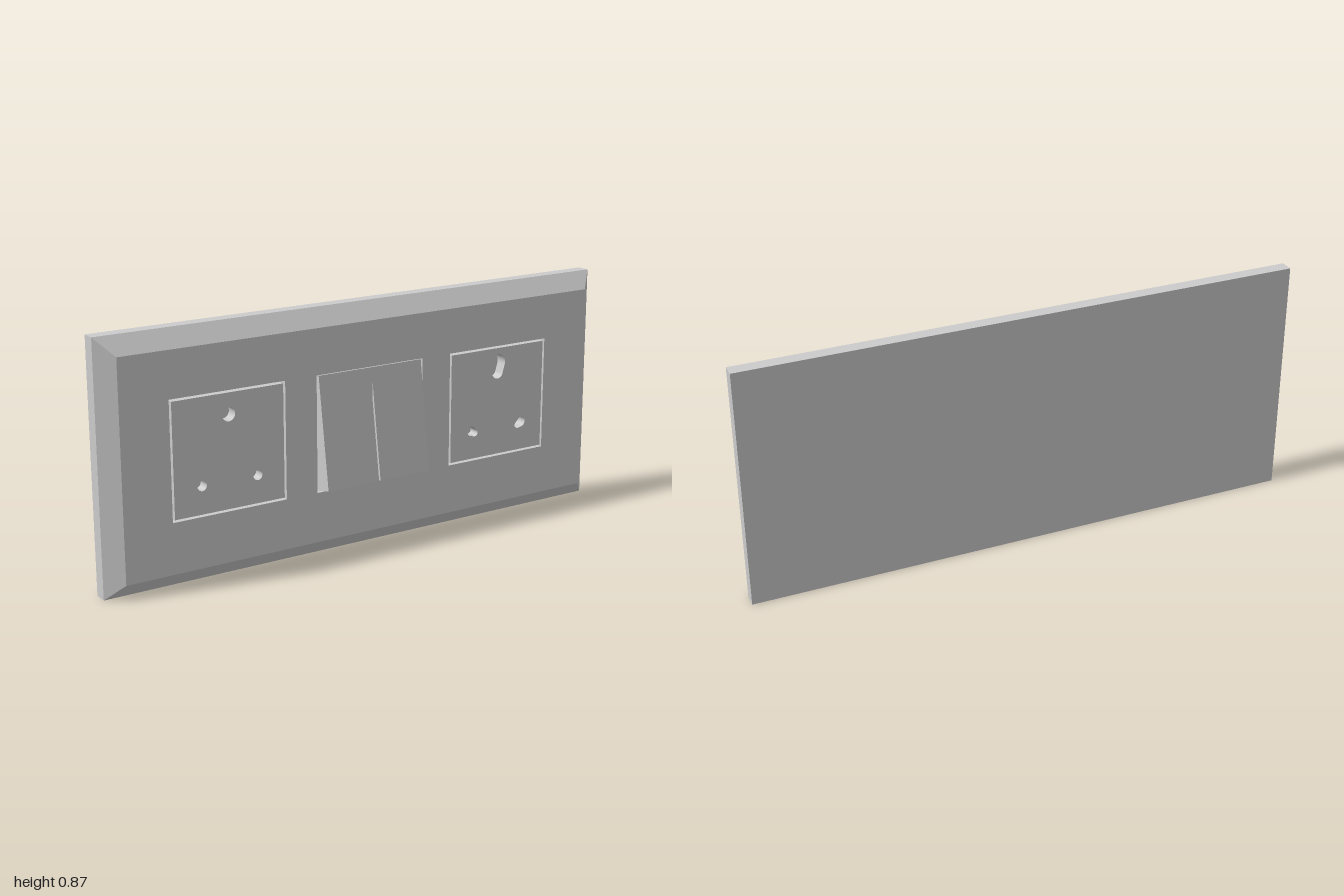
import * as THREE from 'three';

const FRONT = 0.018, FLOOR = -0.025, BACK = -0.075, H = 0.865;
const grey = new THREE.MeshStandardMaterial({ color: 0xcccccc });

// Closed rectangle outline, usable as a shape or as a hole
function rect(x0, y0, x1, y1) {
  return new THREE.Shape([[x0, y0], [x1, y0], [x1, y1], [x0, y1]].map(p => new THREE.Vector2(...p)));
}

// Outline around two circles joined by their tangents
function egg(x1, y1, r1, x2, y2, r2) {
  const s = new THREE.Shape();
  const a = Math.atan2(y2 - y1, x2 - x1);
  const b = Math.acos((r1 - r2) / Math.hypot(x2 - x1, y2 - y1));
  s.absarc(x1, y1, r1, a + b, a + 2 * Math.PI - b, false);
  s.absarc(x2, y2, r2, a - b, a + b, false);
  return s;
}

function circle(x, y, r) {
  return new THREE.Shape().absarc(x, y, r, 0, Math.PI * 2, false);
}

// Slab with holes reaching from the recess floor to the front face
function slab(name, shape, holes) {
  shape.holes.push(...holes);
  const g = new THREE.ExtrudeGeometry(shape, { depth: FRONT - FLOOR, bevelEnabled: false, curveSegments: 16 });
  g.translate(0, 0, FLOOR);
  const m = new THREE.Mesh(g, grey);
  m.name = name;
  return m;
}

// Body with bevelled rim: rectangles lofted from back to front
function bevelledBody() {
  const sections = [
    [-1, 0, 1, H, BACK], [-1, 0, 1, H, -0.027], [-0.94, 0.052, 0.95, 0.803, FRONT],
  ].map(([x0, y0, x1, y1, z]) => [[x0, y0, z], [x1, y0, z], [x1, y1, z], [x0, y1, z]]);
  const pos = [];
  const quad = (a, b, c, d) => pos.push(...a, ...b, ...c, ...a, ...c, ...d);
  for (let k = 0; k < 2; k++) {
    for (let i = 0; i < 4; i++) {
      const j = (i + 1) % 4;
      quad(sections[k][i], sections[k][j], sections[k + 1][j], sections[k + 1][i]);
    }
  }
  const [a, b, c, d] = sections[0];
  quad(d, c, b, a);
  const g = new THREE.BufferGeometry();
  g.setAttribute('position', new THREE.Float32BufferAttribute(pos, 3));
  g.computeVertexNormals();
  const m = new THREE.Mesh(g, grey);
  m.name = 'plateBody';
  return m;
}

// Side profile given as [z, y], extruded along x
function wedge(name, profile, x0, x1) {
  const s = new THREE.Shape(profile.map(([z, y]) => new THREE.Vector2(-z, y)));
  const g = new THREE.ExtrudeGeometry(s, { depth: x1 - x0, bevelEnabled: false });
  g.rotateY(Math.PI / 2);
  g.translate(x0, 0, 0);
  const m = new THREE.Mesh(g, grey);
  m.name = name;
  return m;
}

export function createModel() {
  const group = new THREE.Group();
  group.name = 'wallSocketPlate';
  group.add(bevelledBody());

  // Front face with openings for two sockets and the switches
  const y0 = 0.23, y1 = 0.642, half = 0.214, gap = 0.008;
  const centres = [-0.553, 0.55];
  group.add(slab('frontFace', rect(-0.94, 0.052, 0.95, 0.803), [
    ...centres.map(c => rect(c - half, y0, c + half, y1)),
    rect(-0.217, y0, 0.217, y1),
  ]));

  // Floor behind grooves and pin holes
  const floor = new THREE.Mesh(new THREE.PlaneGeometry(1.6, 0.5), grey);
  floor.name = 'recessFloor';
  floor.position.set(0, 0.436, FLOOR + 0.001);
  group.add(floor);

  // Socket tiles: round pin holes on one, double-width pin holes on the other
  const [cr, cl] = centres;
  const tile = c => rect(c - half + gap, y0 + gap, c + half - gap, y1 - gap);
  group.add(slab('rightSocket', tile(cr), [
    circle(cr, 0.561, 0.024), ...[-1, 1].map(s => circle(cr + s * 0.104, 0.335, 0.017)),
  ]));
  group.add(slab('leftSocket', tile(cl), [
    egg(cl, 0.578, 0.033, cl, 0.545, 0.024),
    egg(cl - 0.114, 0.342, 0.018, cl - 0.098, 0.333, 0.013),
    egg(cl + 0.114, 0.342, 0.018, cl + 0.098, 0.333, 0.013),
  ]));

  // Pair of rocker switches, tipped out at the bottom
  const rocker = [[FLOOR, 0.235], [FRONT, 0.235], [0.075, 0.25], [FRONT, 0.64], [FLOOR, 0.64]];
  group.add(wedge('rightRocker', rocker, -0.209, -0.003));
  group.add(wedge('leftRocker', rocker, 0.003, 0.209));

  // Web at the bottom of the slit between the rockers
  const web = [[FLOOR, 0.236], [0.026, 0.238], [0.026, 0.585], [FRONT, 0.64], [FLOOR, 0.64]];
  group.add(wedge('rockerWeb', web, -0.003, 0.003));
  return group;
}
